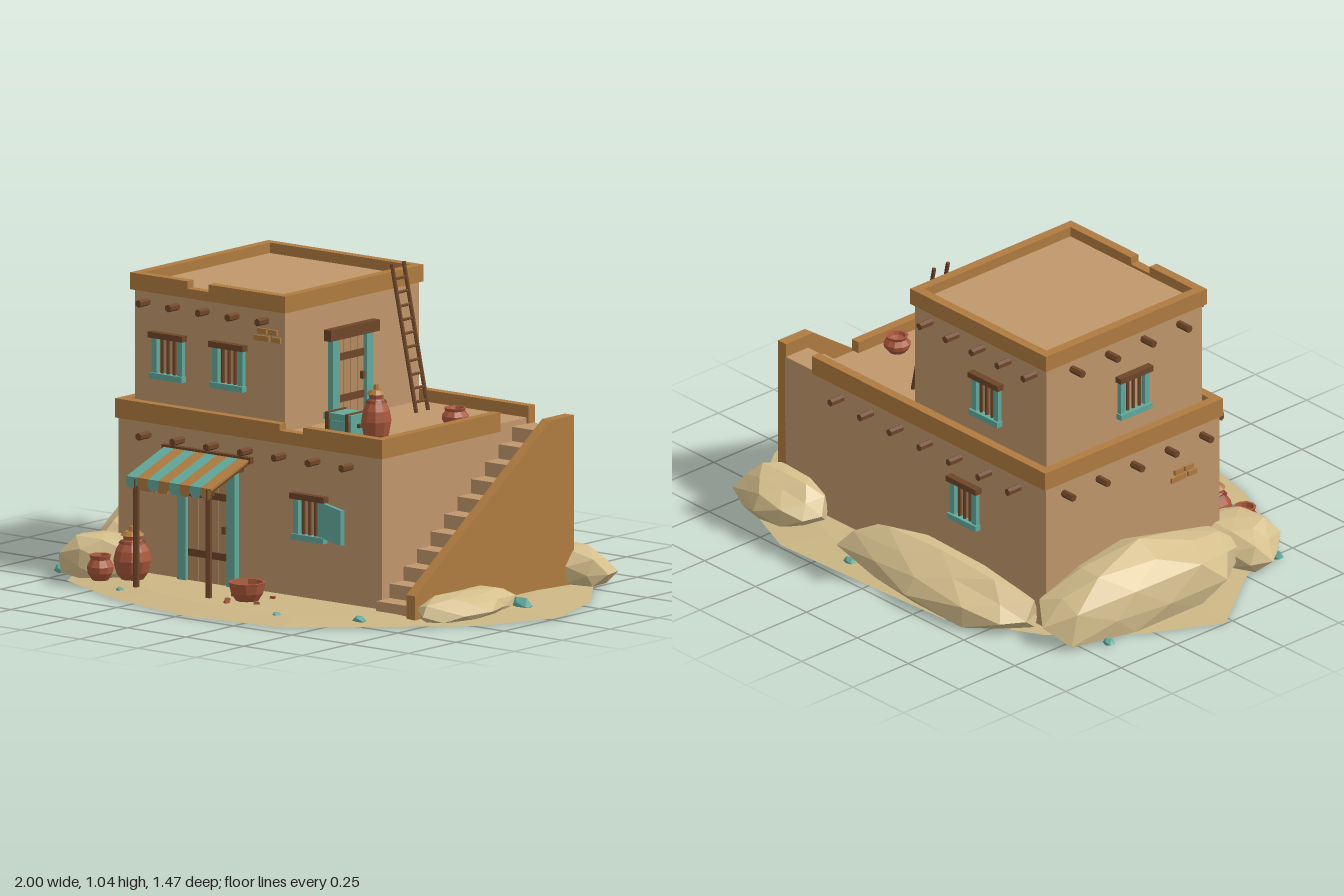
import * as THREE from 'three';

const mat = (name, color) => Object.assign(new THREE.MeshStandardMaterial({ color }), { name, flatShading: true });

export function createModel() {
  const M = {
    wall: mat('adobe', 0xc0976b), trim: mat('ochre trim', 0xb07c40), wood: mat('dark wood', 0x6f4629),
    teal: mat('turquoise paint', 0x62aa9c), clay: mat('terracotta', 0xa8573a), rock: mat('sandstone', 0xd4be8c),
    sand: mat('sand', 0xcbb684), plank: mat('door planks', 0xb58b60), band: mat('dark clay', 0x7d3d28),
  };
  M.cloth = M.teal.clone();
  M.cloth.name = 'turquoise cloth';
  M.cloth.side = THREE.DoubleSide;
  const root = new THREE.Group();
  root.name = 'adobeHouse';

  const add = (name, geo, m, parent = root) => {
    const mesh = new THREE.Mesh(geo, m);
    mesh.name = name;
    parent.add(mesh);
    return mesh;
  };
  const group = (name, x = 0, y = 0, z = 0, ry = 0) => {
    const g = new THREE.Group();
    g.name = name;
    g.position.set(x, y, z);
    g.rotation.y = ry;
    root.add(g);
    return g;
  };
  // Box given by its bounds
  const box = (name, m, x0, x1, y0, y1, z0, z1, parent) => {
    const b = add(name, new THREE.BoxGeometry(x1 - x0, y1 - y0, z1 - z0), m, parent);
    b.position.set((x0 + x1) / 2, (y0 + y1) / 2, (z0 + z1) / 2);
    return b;
  };
  // Round bar between two points
  const bar = (name, m, a, b, r, parent, sides = 6) => {
    const A = new THREE.Vector3(...a), B = new THREE.Vector3(...b), d = B.clone().sub(A);
    const c = add(name, new THREE.CylinderGeometry(r, r, d.length(), sides), m, parent);
    c.position.copy(A).add(B).multiplyScalar(0.5);
    c.quaternion.setFromUnitVectors(new THREE.Vector3(0, 1, 0), d.normalize());
    return c;
  };

  // Sandy ground: irregular outline rising gently to a flat middle
  const rim = [[-1, -.03], [-.81, .23], [-.67, .5], [-.35, .65], [.02, .73], [.41, .68], [.89, .24], [1, -.03],
    [.91, -.31], [.66, -.64], [.41, -.74], [-.02, -.72], [-.35, -.7], [-.66, -.53], [-.87, -.29]];
  const gp = [];
  rim.forEach(([x, z], i) => {
    const [u, w] = rim[(i + 1) % rim.length], s = 0.8, y = 0.015, e = 0.002;
    gp.push(x, e, z, u, e, w, u * s, y, w * s, x, e, z, u * s, y, w * s, x * s, y, z * s,
      x * s, y, z * s, u * s, y, w * s, 0, y, 0, x, e, z, 0, e, 0, u, e, w);
  });
  const gg = new THREE.BufferGeometry();
  gg.setAttribute('position', new THREE.Float32BufferAttribute(gp, 3));
  gg.computeVertexNormals();
  add('ground', gg, M.sand);

  // Two storeys
  box('lowerStorey', M.wall, -.63, .5, 0, .55, -.5, .28);
  box('upperStorey', M.wall, -.605, .04, .55, .975, -.475, .225);

  // Parapets, with a drain notch in the front side
  const parapet = (name, x0, x1, y0, y1, z0, z1, n0, n1, ny, rightBack) => {
    const g = group(name), t = .033;
    box('backEdge', M.trim, x0, x1, y0, y1, z0, z0 + t, g);
    box('leftEdge', M.trim, x0, x0 + t, y0, y1, z0 + t, z1 - t, g);
    box('rightEdge', M.trim, x1 - t, x1, y0, y1, rightBack, z1 - t, g);
    box('frontEdgeLeft', M.trim, x0, n0, y0, y1, z1 - t, z1, g);
    box('frontNotch', M.trim, n0, n1, y0, ny, z1 - t, z1, g);
    box('frontEdgeRight', M.trim, n1, x1, y0, y1, z1 - t, z1, g);
  };
  parapet('lowerParapet', -.637, .508, .525, .59, -.51, .29, .07, .17, .568, -.33);
  parapet('upperParapet', -.616, .05, .953, 1.01, -.487, .237, -.37, -.28, .985, -.454);

  // Projecting roof beams
  const beams = group('roofBeams');
  for (let i = 0; i < 7; i++) bar('lowerBeam', M.wood, [-.5 + i * .145, .483, -.555], [-.5 + i * .145, .483, .335], .013, beams);
  for (let i = 0; i < 5; i++) {
    const x = -.55 + i * .1275;
    bar('upperBeam', M.wood, [x, .917, -.53], [x, .917, .275], .013, beams);
    bar('lowerSideBeam', M.wood, [-.68, .483, -.42 + i * .155], [-.6, .483, -.42 + i * .155], .013, beams);
    if (i < 4) bar('upperSideBeam', M.wood, [-.66, .917, -.36 + i * .16], [-.58, .917, -.36 + i * .16], .013, beams);
  }

  // Stairs with a sloping outer wall
  const stairs = group('stairs');
  for (let i = 0; i < 11; i++) box('step', M.wall, .5, .65, 0, .0482 * (i + 1), -.5, .31 - i * .071, stairs);
  const side = new THREE.Shape([[-.33, 0], [.5, 0], [.5, .578], [.38, .578], [-.33, .09]].map(p => new THREE.Vector2(...p)));
  const sideGeo = new THREE.ExtrudeGeometry(side, { depth: .038, bevelEnabled: false });
  sideGeo.rotateY(Math.PI / 2);
  add('stairWall', sideGeo, M.trim, stairs).position.x = .646;

  // Barred windows, built facing +z
  const windowAt = (name, x, y, z, ry) => {
    const g = group(name, x, y, z, ry);
    for (const s of [-1, 1]) box('jamb', M.teal, s * .054 - .011, s * .054 + .011, .01, .14, -.01, .016, g);
    box('sill', M.teal, -.07, .07, 0, .02, -.01, .024, g);
    box('lintel', M.wood, -.074, .074, .138, .158, -.01, .026, g);
    for (const b of [-.026, 0, .026]) bar('windowBar', M.wood, [b, .02, .007], [b, .14, .007], .006, g);
  };
  windowAt('upperFrontWindowRight', -.455, .665, .225, 0);
  windowAt('upperFrontWindowLeft', -.195, .665, .225, 0);
  windowAt('lowerFrontWindow', .197, .21, .28, 0);
  windowAt('upperBackWindow', -.32, .66, -.475, Math.PI);
  windowAt('lowerBackWindow', -.24, .25, -.5, Math.PI);
  windowAt('upperSideWindow', -.605, .66, -.09, -Math.PI / 2);

  // Open shutter
  const shutter = group('shutter', .265, .228, .292, -.44);
  box('shutterPanel', M.teal, 0, .137, 0, .118, -.007, .007, shutter);
  for (const y of [.02, .09]) box('hinge', M.wood, -.01, .03, y, y + .012, -.01, -.007, shutter);

  // Plank doors, built facing +z
  const doorAt = (name, x, y, z, ry, w, h) => {
    const g = group(name, x, y, z, ry), in_ = w / 2 - .035, n = 4, p = 2 * in_ / n;
    for (const s of [-1, 1]) box('doorJamb', M.teal, s * (w / 2 - .017) - .018, s * (w / 2 - .017) + .018, 0, h, -.01, .022, g);
    box('doorBack', M.wood, -in_, in_, 0, h, -.01, .003, g);
    for (let i = 0; i < n; i++) box('doorPlank', M.plank, -in_ + i * p + .001, -in_ + (i + 1) * p - .001, 0, h - .005, 0, .009, g);
    for (const f of [.22, .73]) box('doorBrace', M.wood, -in_ + .005, in_ - .005, h * f, h * f + .024, .008, .016, g);
    box('doorHandle', M.wood, in_ - .02, in_ - .006, h * .45, h * .45 + .025, .009, .022, g);
    box('doorLintel', M.wood, -w / 2 - .023, w / 2 + .023, h, h + .038, -.01, .03, g);
  };
  doorAt('frontDoor', -.237, .012, .28, 0, .245, .395);
  doorAt('terraceDoor', .04, .55, -.105, Math.PI / 2, .21, .277);

  // Exposed brick patches
  const bricks = (name, x, y, z, ry) => {
    const g = group(name, x, y, z, ry);
    [[-.035, .024], [.01, .024], [-.025, 0], [.025, 0], [-.05, -.001], [.03, .025]].slice(0, 5)
      .forEach(([u, v]) => box('brick', M.trim, u - .02, u + .02, v - .008, v + .01, -.004, .008, g));
  };
  bricks('upperBricks', -.02, .855, .225, 0);
  bricks('sideBricks', -.63, .36, .13, -Math.PI / 2);
  bricks('frontBricks', -.46, .3, .28, 0);

  // Striped awning on posts, with a hanging scalloped edge
  const awning = group('awning'), ax = -.42, sw = .0455, len = Math.hypot(.21, .075);
  M.stripe = M.trim.clone();
  M.stripe.name = 'ochre cloth';
  M.stripe.side = THREE.DoubleSide;
  for (let i = 0; i < 8; i++) {
    const m = i % 2 ? M.stripe : M.cloth, x = ax + sw * (i + .5);
    const c = add('awningStripe', new THREE.BoxGeometry(sw, .007, len), m, awning);
    c.position.set(x, .419, .388);
    c.rotation.x = Math.atan2(.075, .21);
    const flap = new THREE.Shape([[-.5, 0], [-.5, -.022], [-.25, -.036], [.25, -.036], [.5, -.022], [.5, 0]]
      .map(([u, v]) => new THREE.Vector2(u * sw, v)));
    add('awningFlap', new THREE.ShapeGeometry(flap), m, awning).position.set(x, .382, .494);
  }
  for (const x of [-.385, -.075]) {
    bar('awningPost', M.wood, [x, 0, .485], [x, .38, .485], .011, awning);
    bar('awningRafter', M.wood, [x, .44, .28], [x, .367, .487], .008, awning);
  }
  bar('awningFrontRail', M.wood, [ax, .368, .483], [-.056, .368, .483], .009, awning);
  box('awningWallBeam', M.wood, -.43, -.05, .441, .462, .28, .3, awning);

  // Ladder leaning on the upper storey
  const ladder = group('ladder');
  for (const z of [-.308, -.37]) bar('ladderRail', M.wood, [.165, .55, z], [.06, 1.04, z], .007, ladder);
  for (let i = 0; i < 10; i++) {
    const t = .07 + i * .092;
    bar('rung', M.wood, [.165 - .105 * t, .55 + .49 * t, -.37], [.165 - .105 * t, .55 + .49 * t, -.308], .005, ladder);
  }

  // Clay vessels turned from profiles
  const clay = M.clay;
  clay.side = THREE.DoubleSide;
  const vessel = (name, x, y, z, r, h, prof, lid) => {
    const g = group(name, x, y, z);
    add('vesselBody', new THREE.LatheGeometry(prof.map(([a, b]) => new THREE.Vector2(a * r, b * h)), 10), clay, g);
    if (!lid) return g;
    const c = (n, a, b, y0, hh, m) => { add(n, new THREE.CylinderGeometry(a * r, b * r, hh * h, 10), m, g).position.y = (y0 + hh / 2) * h; };
    c('lid', .4, .62, .84, .07, M.trim);
    c('lidKnob', .16, .2, .91, .09, M.trim);
    c('collarBand', .62, .72, .69, .04, M.band);
    return g;
  };
  const jar = [[0, 0], [.55, 0], [.85, .15], [1, .38], [.88, .56], [.62, .7], [.46, .76], [.52, .85], [0, .85]];
  const pot = [[0, 0], [.6, 0], [.95, .3], [1, .55], [.72, .82], [.82, 1], [.64, 1], [.56, .8], [0, .6]];
  const bowl = [[0, 0], [.6, 0], [.9, .45], [1, .9], [1.03, 1], [.85, 1], [.75, .5], [0, .25]];
  vessel('groundJar', -.48, .012, .39, .066, .18, jar, true);
  vessel('groundPot', -.56, .012, .46, .046, .085, pot);
  vessel('roofJar', .39, .55, .175, .052, .197, jar, true);
  vessel('roofPot', .4, .55, -.225, .046, .06, pot);
  vessel('brokenBowl', .05, .012, .435, .062, .065, bowl);
  for (const [x, z, a] of [[-.02, .36, 0], [.1, .36, 1], [.0, .48, 2], [.03, .52, .5], [.12, .47, 1.6], [-.03, .41, 2.5]]) {
    const s = add('shard', new THREE.CylinderGeometry(.011, .013, .008, 3), M.clay);
    s.position.set(x, .019, z);
    s.rotation.y = a;
  }

  // Chest on the terrace
  const chest = group('chest', .22, .55, .125);
  box('chestBody', M.teal, -.055, .055, 0, .05, -.043, .043, chest);
  box('chestLid', M.teal, -.06, .06, .052, .075, -.047, .047, chest);
  for (const x of [-.042, .042]) box('chestStrap', M.wood, x - .007, x + .007, 0, .078, -.05, .05, chest);
  box('chestHandle', M.wood, -.068, .068, .03, .042, -.012, .012, chest);

  // Boulders and stones: dented spheres with flattened bases
  const boulder = (name, m, x0, x1, z0, z1, h, seed, detail = 1, base = 0.004) => {
    const g = new THREE.IcosahedronGeometry(1, detail), p = g.attributes.position, v = new THREE.Vector3();
    for (let i = 0; i < p.count; i++) {
      v.fromBufferAttribute(p, i);
      const n = Math.sin(Math.round(v.x * 50) * 1.7 + Math.round(v.y * 50) * 2.9 + Math.round(v.z * 50) * 4.3 + seed);
      v.multiplyScalar(1.02 + .1 * n);
      p.setXYZ(i, v.x * (x1 - x0) / 2, Math.max(base, h * (.3 + .7 * v.y)), v.z * (z1 - z0) / 2);
    }
    g.computeVertexNormals();
    add(name, g, m).position.set((x0 + x1) / 2, 0, (z0 + z1) / 2);
  };
  boulder('leftBoulder', M.rock, -.88, -.55, -.6, .28, .235, 1);
  boulder('backBoulder', M.rock, -.64, .25, -.72, -.42, .15, 2.2);
  boulder('backRightBoulder', M.rock, .41, .78, -.68, -.43, .14, 3.1);
  boulder('frontLeftBoulder', M.rock, -.82, -.49, .2, .46, .145, 4.7);
  boulder('rightBoulder', M.rock, .62, .83, -.1, .33, .085, 5.2);
  [[-.85, -.42, .024], [.16, -.66, .024], [.81, -.07, .04], [-.77, .41, .028], [-.41, .54, .018], [.28, .56, .022],
    [.545, .45, .027], [.22, .45, .014]].forEach(([x, z, r], i) =>
    boulder('turquoiseStone', M.teal, x - r, x + r, z - r * .75, z + r * .75, r * 1.1, i, 0));

  return root;
}
